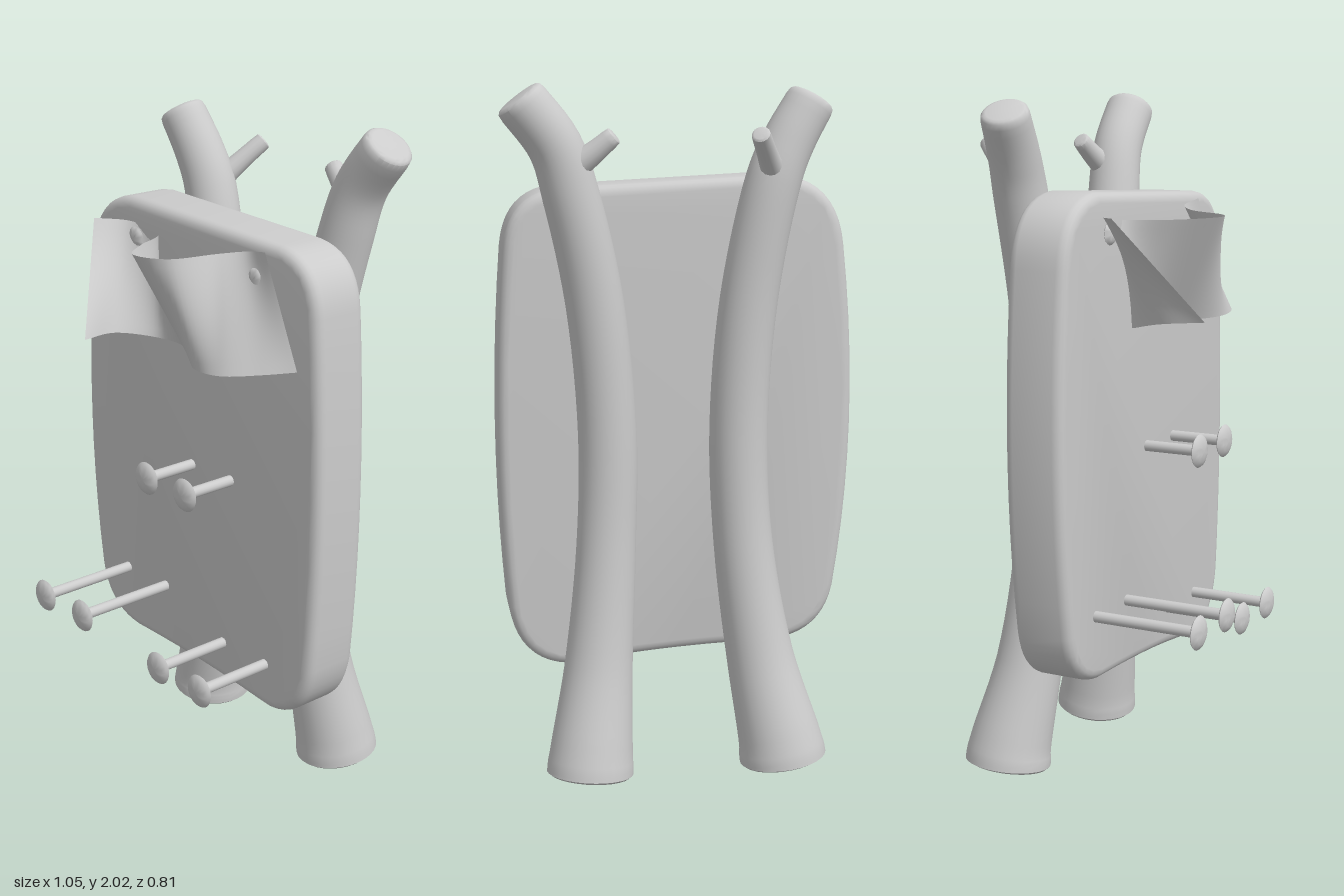
import * as THREE from 'three';
import { toCreasedNormals } from 'three/addons/utils/BufferGeometryUtils.js';

const material = new THREE.MeshStandardMaterial({ color: 0xcccccc });
const sheetMaterial = new THREE.MeshStandardMaterial({ color: 0xcccccc, side: THREE.DoubleSide });

function addMesh(parent, name, geometry, mat = material) {
  const mesh = new THREE.Mesh(geometry, mat);
  mesh.name = name;
  parent.add(mesh);
  return mesh;
}

// Builds a grid of quads from rows of points
function gridGeometry(rows) {
  const n = rows[0].length;
  const index = [];
  for (let i = 0; i < rows.length - 1; i++) {
    for (let j = 0; j < n - 1; j++) {
      const a = i * n + j, b = a + 1, c = a + n, d = c + 1;
      index.push(a, b, d, a, d, c);
    }
  }
  const geometry = new THREE.BufferGeometry().setFromPoints(rows.flat());
  geometry.setIndex(index);
  geometry.computeVertexNormals();
  return geometry;
}

// Round limb through stations [x, y, z, radius], with softened flat ends
function limbGeometry(stations, steps, sides, bevel) {
  const path = new THREE.CatmullRomCurve3(stations.map(([x, y, z]) => new THREE.Vector3(x, y, z)));
  const radii = new THREE.SplineCurve(stations.map((s, i) => new THREE.Vector2(i, s[3])));
  const rings = [];
  const ring = (t, scale, push) => {
    const tangent = path.getTangent(t);
    const centre = path.getPoint(t).addScaledVector(tangent, push);
    const u = new THREE.Vector3(0, 0, 1).cross(tangent).normalize();
    const v = tangent.clone().cross(u);
    const r = Math.max(radii.getPoint(t).y - scale, 0);
    const points = [];
    for (let j = 0; j <= sides; j++) {
      const a = (j / sides) * Math.PI * 2;
      points.push(centre.clone().addScaledVector(u, r * Math.cos(a)).addScaledVector(v, r * Math.sin(a)));
    }
    rings.push(points);
  };
  ring(0, 1, 0);
  for (let k = 0; k < 3; k++) {
    const a = (k / 3) * Math.PI / 2;
    ring(0, bevel * (1 - Math.sin(a)), bevel * (1 - Math.cos(a)));
  }
  for (let i = 1; i < steps; i++) ring(i / steps, 0, 0);
  for (let k = 2; k >= 0; k--) {
    const a = (k / 3) * Math.PI / 2;
    ring(1, bevel * (1 - Math.sin(a)), -bevel * (1 - Math.cos(a)));
  }
  ring(1, 1, 0);
  return toCreasedNormals(gridGeometry(rings), 0.7);
}

// Board: bowed sides, slanted ends, rounded edges
function boardGeometry() {
  const s = new THREE.Shape();
  s.moveTo(-0.3, 1.745);
  s.lineTo(0.34, 1.715);
  s.quadraticCurveTo(0.485, 1.7, 0.5, 1.54);
  s.quadraticCurveTo(0.545, 1.0, 0.5, 0.48);
  s.quadraticCurveTo(0.475, 0.31, 0.33, 0.295);
  s.bezierCurveTo(0.2, 0.305, 0.1, 0.33, -0.3, 0.335);
  s.quadraticCurveTo(-0.455, 0.35, -0.485, 0.5);
  s.quadraticCurveTo(-0.565, 1.0, -0.5, 1.54);
  s.quadraticCurveTo(-0.48, 1.73, -0.3, 1.745);
  const bevel = 0.03;
  const geometry = new THREE.ExtrudeGeometry(s, {
    depth: 0.185 - 2 * bevel, bevelThickness: bevel, bevelSize: bevel,
    bevelOffset: -bevel, bevelSegments: 4, curveSegments: 10,
  });
  geometry.translate(0, 0, -0.12 + bevel);
  return toCreasedNormals(geometry, 0.7);
}

// Nail pointing out of the board, with a domed head whose back is at z
function addNail(parent, name, x, y, z, headRadius) {
  const nail = new THREE.Group();
  nail.name = name;
  const back = 0.03;
  const shaft = new THREE.CylinderGeometry(0.0165, 0.0165, z - back, 16);
  shaft.rotateX(Math.PI / 2).translate(0, 0, (z + back) / 2);
  addMesh(nail, 'nailShaft', shaft);
  const profile = [[0, 0], [0.93, 0], [1, 0.08], [0.9, 0.2], [0.65, 0.33], [0.35, 0.4], [0, 0.42]]
    .map(([r, h]) => new THREE.Vector2(r * headRadius, h * headRadius));
  const head = new THREE.LatheGeometry(profile, 24);
  head.rotateX(Math.PI / 2).translate(0, 0, z);
  addMesh(nail, 'nailHead', toCreasedNormals(head, 0.7));
  nail.position.set(x, y, 0);
  parent.add(nail);
}

// Wavy sheet lofted between its top and bottom edges
function sheetGeometry() {
  const edge = (pts) => new THREE.CatmullRomCurve3(pts.map((p) => new THREE.Vector3(...p)));
  const top = edge([
    [-0.375, 1.68, 0.14], [-0.29, 1.675, 0.07], [-0.16, 1.66, 0.07], [-0.09, 1.66, 0.19], [0, 1.665, 0.29],
    [0.1, 1.665, 0.25], [0.16, 1.67, 0.12], [0.22, 1.68, 0.07], [0.305, 1.695, 0.075],
  ]);
  const bottom = edge([
    [-0.18, 1.385, 0.33], [-0.205, 1.375, 0.2], [-0.15, 1.35, 0.085], [-0.04, 1.35, 0.08], [0.06, 1.35, 0.14],
    [0.17, 1.355, 0.21], [0.27, 1.36, 0.205], [0.37, 1.375, 0.145], [0.45, 1.39, 0.085],
  ]);
  const rows = [];
  for (let i = 0; i <= 12; i++) {
    const row = [];
    for (let j = 0; j <= 64; j++) {
      row.push(bottom.getPoint(j / 64).lerp(top.getPoint(j / 64), i / 12));
    }
    rows.push(row);
  }
  return gridGeometry(rows.reverse().map((r) => r.reverse()));
}

export function createModel() {
  const model = new THREE.Group();
  model.name = 'noticeBoard';

  addMesh(model, 'board', boardGeometry());

  // Two curved branch posts, each with a small twig
  addMesh(model, 'rightPost', limbGeometry([
    [-0.3, 0.015, -0.262, 0.13], [-0.292, 0.07, -0.258, 0.125], [-0.235, 0.33, -0.22, 0.1],
    [-0.185, 0.68, -0.197, 0.087], [-0.17, 1.02, -0.193, 0.085], [-0.195, 1.4, -0.203, 0.083],
    [-0.26, 1.74, -0.218, 0.079], [-0.3, 1.84, -0.212, 0.075], [-0.375, 1.968, -0.198, 0.07],
  ], 48, 28, 0.018));
  addMesh(model, 'rightTwig', limbGeometry([
    [-0.265, 1.74, -0.23, 0.038], [-0.225, 1.81, -0.3, 0.03], [-0.188, 1.875, -0.37, 0.027],
  ], 8, 14, 0.008));
  addMesh(model, 'leftPost', limbGeometry([
    [0.285, 0.01, -0.278, 0.128], [0.28, 0.07, -0.27, 0.123], [0.25, 0.33, -0.225, 0.1],
    [0.222, 0.68, -0.198, 0.087], [0.215, 1.02, -0.193, 0.085], [0.25, 1.4, -0.205, 0.083],
    [0.315, 1.7, -0.225, 0.08], [0.36, 1.84, -0.235, 0.076], [0.46, 1.972, -0.24, 0.074],
  ], 48, 28, 0.018));
  addMesh(model, 'leftTwig', limbGeometry([
    [0.34, 1.76, -0.24, 0.045], [0.265, 1.815, -0.265, 0.033], [0.2, 1.87, -0.28, 0.027],
  ], 8, 14, 0.008));

  // Pinned sheet
  addMesh(model, 'sheet', sheetGeometry(), sheetMaterial);
  addNail(model, 'sheetPin', -0.26, 1.63, 0.072, 0.034);
  addNail(model, 'sheetPin', 0.265, 1.61, 0.072, 0.034);

  // Hanging nails in pairs
  const nails = [
    [-0.018, 0.98, 0.235], [0.155, 0.98, 0.235],
    [-0.335, 0.535, 0.388], [-0.147, 0.535, 0.388],
    [0.124, 0.44, 0.315], [0.312, 0.44, 0.315],
  ];
  for (const [x, y, z] of nails) addNail(model, 'hangingNail', x, y, z, 0.05);

  return model;
}
